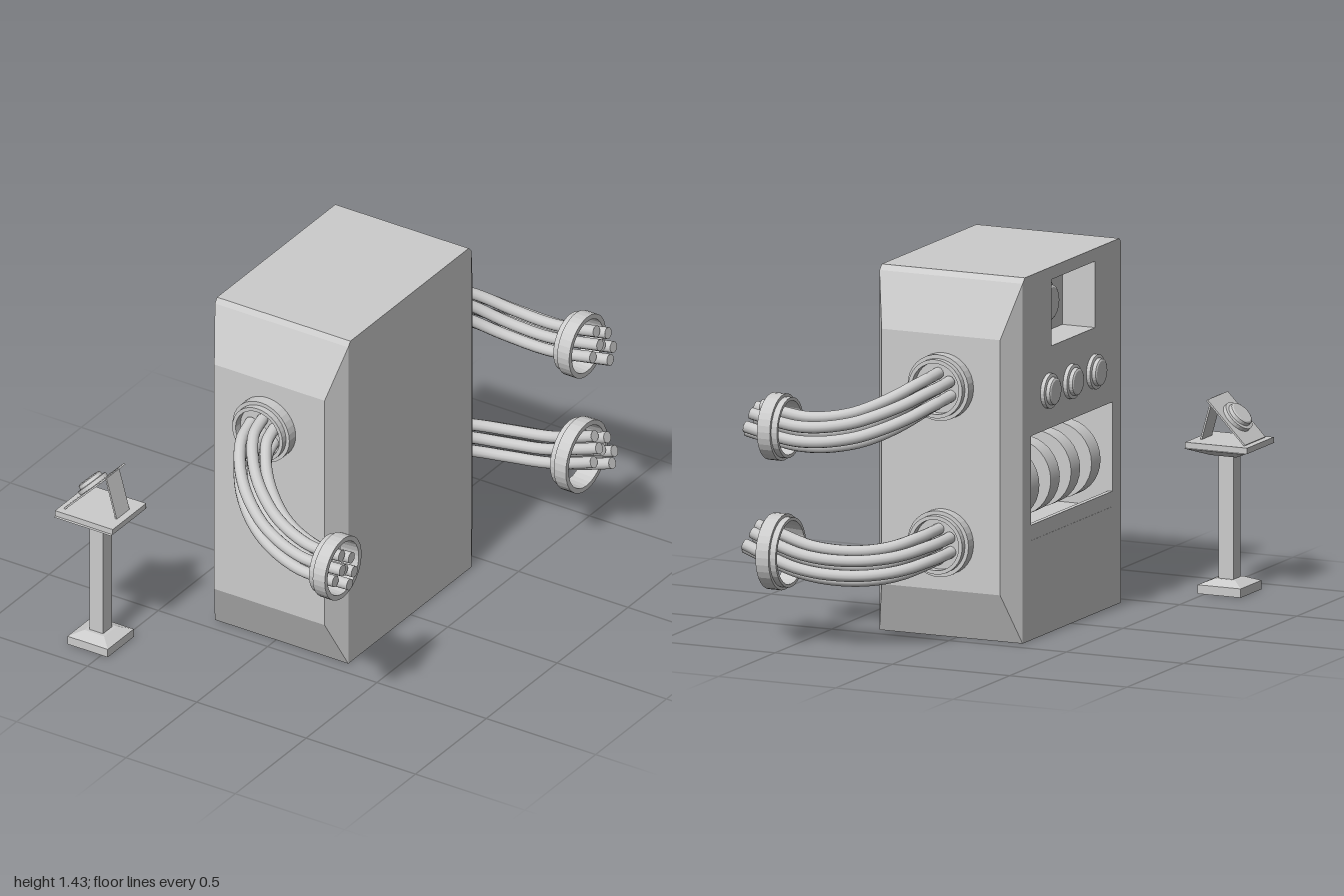
import * as THREE from 'three';

const mat = new THREE.MeshStandardMaterial({ color: 0xcccccc, side: THREE.DoubleSide });
const flat = new THREE.MeshStandardMaterial({ color: 0xcccccc, side: THREE.DoubleSide, flatShading: true });

function add(parent, name, geometry, material = mat, pos = [0, 0, 0]) {
  const m = new THREE.Mesh(geometry, material);
  m.name = name;
  m.position.set(...pos);
  parent.add(m);
  return m;
}

function box(parent, name, x0, x1, y0, y1, z0, z1) {
  return add(parent, name, new THREE.BoxGeometry(x1 - x0, y1 - y0, z1 - z0), flat,
    [(x0 + x1) / 2, (y0 + y1) / 2, (z0 + z1) / 2]);
}

// Sharp-edged turned part: every pair of profile points is its own band
function turned(profile, segs = 32) {
  const g = new THREE.LatheGeometry(profile.map(p => new THREE.Vector2(...p)), segs).toNonIndexed();
  g.deleteAttribute('normal');
  g.computeVertexNormals();
  return g;
}

// Two-step push button, pointing along +y before rotation
function button(parent, name, r, h) {
  return add(parent, name, turned([[0.0001, 0], [r, 0], [r, h * 0.45], [r * 0.85, h * 0.5], [r * 0.8, h * 0.5],
    [r * 0.76, h * 0.9], [r * 0.66, h], [0.0001, h]], 28), flat);
}

function rectPath(z0, z1, y0, y1) {
  return new THREE.Path([[z0, y0], [z0, y1], [z1, y1], [z1, y0]].map(p => new THREE.Vector2(...p)));
}

// Cabinet shell from rectangular rings along z; the bottom stays open
function shellGeometry() {
  const rings = [
    [0.53, -0.225, 0.28, 0.2, 1.2], [0.44, -0.28, 0.33, 0, 1.41], [0.425, -0.28, 0.33, 0, 1.43],
    [-0.41, -0.28, 0.33, 0, 1.43], [-0.43, -0.28, 0.33, 0, 1.41], [-0.515, -0.225, 0.28, 0.2, 1.2],
  ].map(([z, a, b, c, d]) => [[a, c, z], [b, c, z], [b, d, z], [a, d, z]]);
  const pos = [];
  const quad = (a, b, c, d) => pos.push(...a, ...b, ...c, ...a, ...c, ...d);
  for (let i = 0; i < 5; i++) {
    for (let k = 0; k < 4; k++) {
      const middle = i > 0 && i < 4;
      if (middle && (k === 0 || k === 3)) continue;
      const n = (k + 1) % 4;
      quad(rings[i][k], rings[i + 1][k], rings[i + 1][n], rings[i][n]);
    }
  }
  quad(...rings[0]);
  quad(...[...rings[5]].reverse());
  const g = new THREE.BufferGeometry();
  g.setAttribute('position', new THREE.Float32BufferAttribute(pos, 3));
  g.computeVertexNormals();
  return g;
}

// Recess behind a window: a box without its -x side
function recess(parent, name, depth, y0, y1, z0, z1) {
  const m = box(parent, name, -0.28, -0.28 + depth, y0, y1, z0, z1);
  const idx = Array.from(m.geometry.index.array);
  idx.splice(6, 6);
  m.geometry.setIndex(idx);
}

function makeCabinet() {
  const g = new THREE.Group();
  g.name = 'cabinet';
  add(g, 'shell', shellGeometry(), flat);

  // Control side with two windows
  const wall = new THREE.Shape([[-0.43, 0], [0.44, 0], [0.44, 1.41], [0.425, 1.43], [-0.41, 1.43], [-0.43, 1.41]]
    .map(p => new THREE.Vector2(...p)));
  wall.holes.push(rectPath(-0.355, 0.365, 0.39, 0.8), rectPath(-0.175, 0.21, 1.12, 1.38));
  add(g, 'controlWall', new THREE.ShapeGeometry(wall).rotateY(-Math.PI / 2), flat, [-0.28, 0, 0]);
  recess(g, 'lowerRecess', 0.36, 0.39, 0.8, -0.355, 0.365);
  recess(g, 'upperRecess', 0.14, 1.12, 1.38, -0.175, 0.21);
  box(g, 'windowSill', -0.279, -0.26, 0.39, 0.45, -0.355, 0.365);
  add(g, 'innerFloor', new THREE.PlaneGeometry(0.6, 0.86).rotateX(Math.PI / 2), flat, [0.025, 0.385, 0.005]);

  // Reels behind the lower window
  for (let i = 0; i < 4; i++) {
    add(g, 'reel', new THREE.CylinderGeometry(0.15, 0.15, 0.08, 32).rotateX(Math.PI / 2), mat,
      [-0.1, 0.58, -0.26 + i * 0.18]);
  }
  add(g, 'reelAxle', new THREE.CylinderGeometry(0.025, 0.025, 0.7, 12).rotateX(Math.PI / 2), mat, [-0.1, 0.58, 0]);

  // Large button in the upper window, three small ones below it
  const big = button(g, 'windowButton', 0.09, 0.06);
  big.rotation.z = Math.PI / 2;
  big.position.set(-0.14, 1.25, 0.0);
  for (const z of [-0.205, -0.005, 0.2]) {
    const b = button(g, 'sideButton', 0.068, 0.035);
    b.rotation.z = Math.PI / 2;
    b.position.set(-0.28, 0.95, z);
  }
  return g;
}

// Hose: wall flange, seven cables along a common curve, and an end ring
function makeHose(name, side, wallZ, y, ringPos, ringR, path) {
  const g = new THREE.Group();
  g.name = name;
  const flange = add(g, 'wallFlange', turned([[0.0001, 0], [0.13, 0], [0.13, 0.045], [0.115, 0.045],
    [0.115, 0.07], [0.1, 0.07], [0.1, 0.035], [0.0001, 0.035]]), flat, [0.018, y, wallZ]);
  flange.rotation.x = side * Math.PI / 2;

  const curve = new THREE.CatmullRomCurve3(path.map(p => new THREE.Vector3(...p)));
  const up = new THREE.Vector3(0, 1, 0);
  for (let i = 0; i < 7; i++) {
    const a = i * Math.PI / 3 + Math.PI / 6;
    const r = i === 6 ? 0 : 0.058;
    const reach = 1 - 0.035 * ((i * 3) % 4) / 3;
    const pts = [];
    for (let k = 0; k <= 12; k++) {
      const t = k / 12 * reach;
      const tan = curve.getTangent(t);
      const n = tan.clone().cross(up).normalize();
      const b = n.clone().cross(tan);
      pts.push(curve.getPoint(t).addScaledVector(n, Math.cos(a) * r).addScaledVector(b, Math.sin(a) * r));
    }
    const cable = new THREE.CatmullRomCurve3(pts);
    add(g, 'cable', new THREE.TubeGeometry(cable, 36, 0.023, 12));
    const cap = add(g, 'cableEnd', new THREE.CircleGeometry(0.023, 12));
    cap.position.copy(pts[12]);
    cap.lookAt(pts[12].clone().add(cable.getTangent(1)));
  }

  const R = ringR;
  const ring = add(g, 'endRing', turned([[R - 0.025, -0.04], [R - 0.012, -0.04], [R - 0.012, -0.015], [R, -0.015],
    [R, 0.04], [R - 0.02, 0.04], [R - 0.025, -0.04]]), flat, ringPos);
  ring.rotation.z = -Math.PI / 2;
  return g;
}

function makePedestal() {
  const g = new THREE.Group();
  g.name = 'pedestal';
  g.position.set(-0.563, 0, 0.81);
  // Square frustum between two half-widths
  const taper = (name, y0, y1, h0, h1) => add(g, name,
    new THREE.CylinderGeometry(h1 * Math.SQRT2, h0 * Math.SQRT2, y1 - y0, 4).rotateY(Math.PI / 4), flat,
    [0, (y0 + y1) / 2, 0]);
  box(g, 'base', -0.092, 0.092, 0, 0.035, -0.092, 0.092);
  taper('baseBevel', 0.035, 0.055, 0.092, 0.045);
  box(g, 'post', -0.031, 0.031, 0.05, 0.545, -0.031, 0.031);
  taper('tableFlare', 0.54, 0.572, 0.055, 0.13);
  box(g, 'tableTop', -0.132, 0.132, 0.572, 0.595, -0.118, 0.118);

  // Thin sheet between two points in the x-y plane
  const sheet = (name, x0, y0, x1, y1, depth) => {
    const m = add(g, name, new THREE.BoxGeometry(Math.hypot(x1 - x0, y1 - y0), 0.007, depth), flat,
      [(x0 + x1) / 2, (y0 + y1) / 2, 0]);
    m.rotation.z = Math.atan2(y1 - y0, x1 - x0);
  };
  sheet('slantedPanel', -0.107, 0.597, 0.053, 0.761, 0.18);
  sheet('panelSupport', 0.053, 0.761, 0.1, 0.595, 0.09);
  const b = button(g, 'panelButton', 0.066, 0.035);
  b.position.set(-0.03, 0.682, 0);
  b.rotation.z = Math.PI / 4;
  return g;
}

export function createModel() {
  const model = new THREE.Group();
  model.name = 'machine';
  model.add(makeCabinet(), makePedestal());
  model.add(makeHose('frontHose', 1, 0.53, 1.0, [0.545, 0.72, 0.87], 0.13,
    [[0.018, 1.0, 0.55], [0.04, 0.97, 0.66], [0.12, 0.875, 0.77], [0.25, 0.775, 0.84], [0.42, 0.715, 0.868], [0.615, 0.715, 0.87]]));
  model.add(makeHose('upperBackHose', -1, -0.515, 1.0, [0.545, 0.855, -0.855], 0.13,
    [[0.018, 1.0, -0.54], [0.04, 0.98, -0.65], [0.12, 0.925, -0.76], [0.25, 0.87, -0.825], [0.44, 0.845, -0.855], [0.68, 0.885, -0.855]]));
  model.add(makeHose('lowerBackHose', -1, -0.515, 0.388, [0.545, 0.365, -0.85], 0.148,
    [[0.018, 0.388, -0.54], [0.04, 0.375, -0.65], [0.12, 0.345, -0.76], [0.25, 0.33, -0.825], [0.44, 0.345, -0.855], [0.68, 0.425, -0.855]]));
  return model;
}
